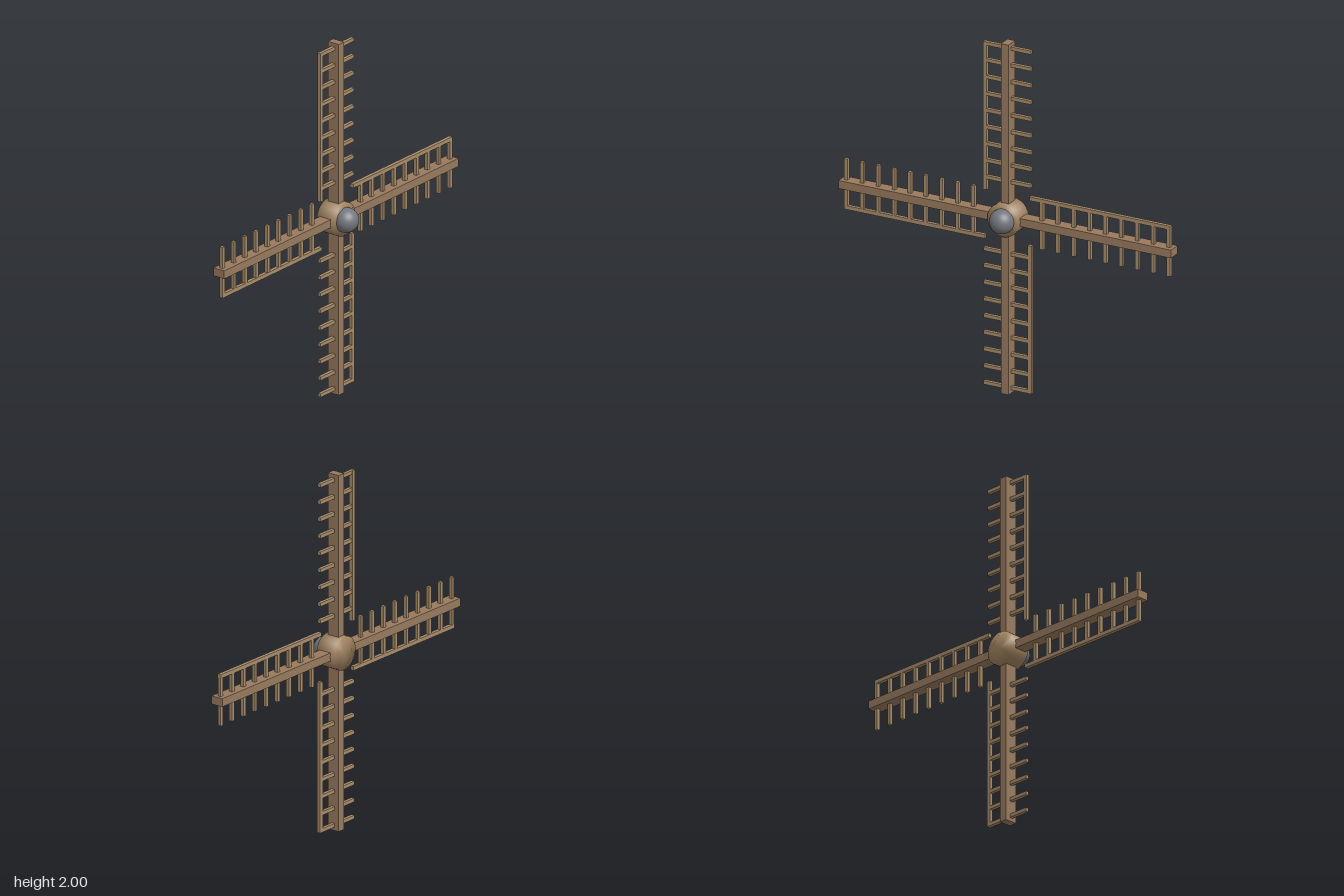
import * as THREE from 'three';
import { mergeVertices } from 'three/addons/utils/BufferGeometryUtils.js';

const Z = -0.04; // plane of the sails

function box(name, w, h, d, x, y, material) {
  const mesh = new THREE.Mesh(new THREE.BoxGeometry(w, h, d), material);
  mesh.name = name;
  mesh.position.set(x, y, 0);
  return mesh;
}

// One sail pointing up: a thick spar, a row of rungs and an edge rail
function createSail(sparWood, latticeWood) {
  const sail = new THREE.Group();
  sail.name = 'sail';
  sail.add(box('spar', 0.046, 1, 0.073, 0, 0.5, sparWood));
  for (let i = 0; i < 9; i++) {
    sail.add(box('rung', 0.286, 0.02, 0.02, 0, 0.206 + i * 0.0955, latticeWood));
  }
  sail.add(box('edgeRail', 0.022, 0.846, 0.021, -0.135, 0.557, latticeWood));
  return sail;
}

export function createModel() {
  const model = new THREE.Group();
  model.name = 'windmillSails';
  const sparWood = new THREE.MeshStandardMaterial({ color: 0x987a5e });
  const latticeWood = new THREE.MeshStandardMaterial({ color: 0xa88c6a });
  const hubWood = new THREE.MeshStandardMaterial({ color: 0xa08260 });
  const metal = new THREE.MeshStandardMaterial({ color: 0x74777e });

  // Four sails, each a quarter turn from the last
  for (let i = 0; i < 4; i++) {
    const sail = createSail(sparWood, latticeWood);
    sail.position.set(0, 1, Z);
    sail.rotation.z = (-i * Math.PI) / 2;
    model.add(sail);
  }

  // Hub drum, shaded softly across its rims
  let drum = new THREE.CylinderGeometry(0.094, 0.094, 0.113, 32);
  drum.deleteAttribute('normal');
  drum.deleteAttribute('uv');
  drum = mergeVertices(drum);
  drum.computeVertexNormals();
  const hub = new THREE.Mesh(drum, hubWood);
  hub.name = 'hub';
  hub.rotation.x = Math.PI / 2;
  hub.position.set(0, 1, Z);
  model.add(hub);

  // Round cap on the front of the hub
  const cap = new THREE.Mesh(new THREE.SphereGeometry(0.068, 32, 20), metal);
  cap.name = 'hubCap';
  cap.position.set(0, 1, 0.028);
  model.add(cap);

  return model;
}
